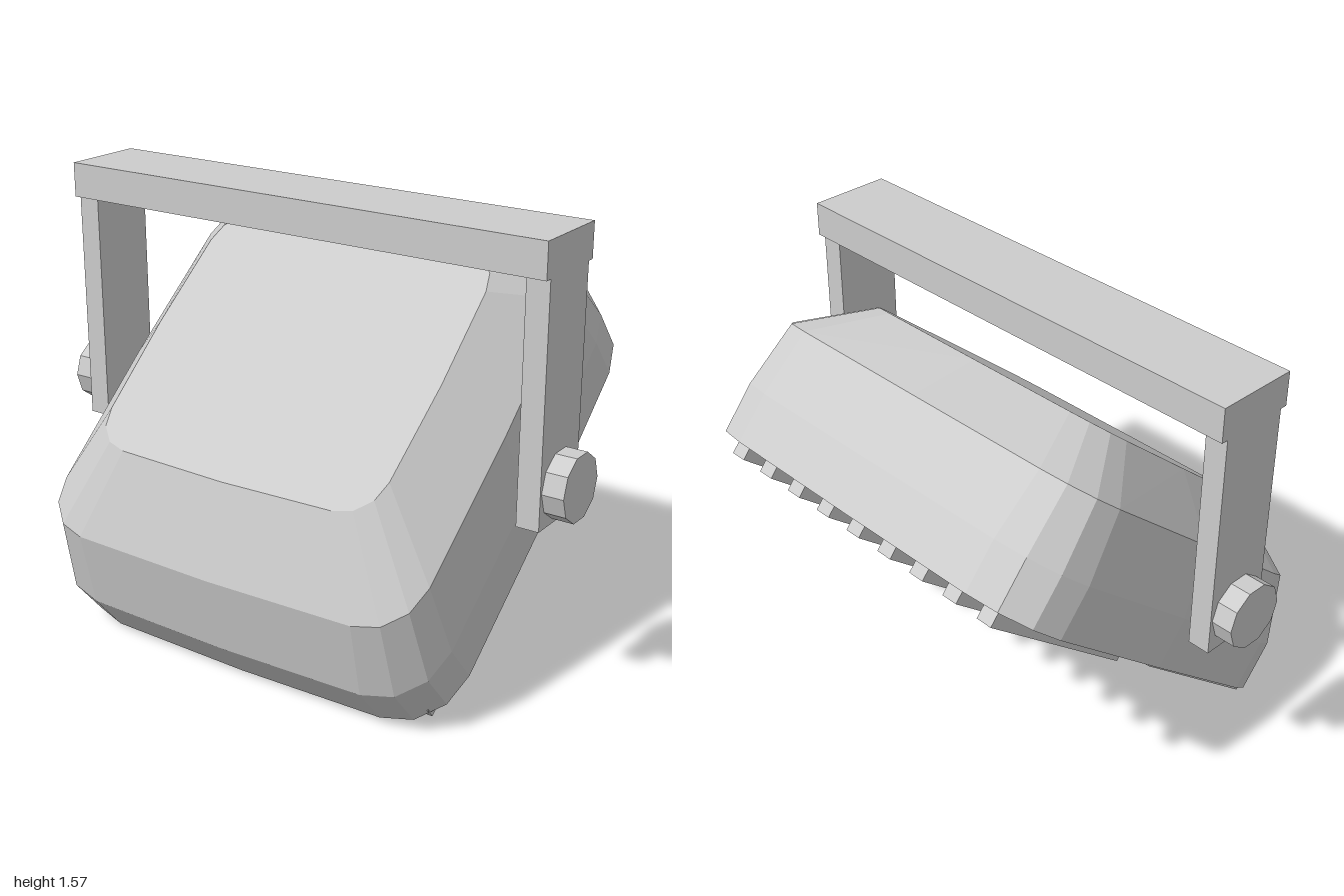
import * as THREE from 'three';

const gray = new THREE.MeshStandardMaterial({ color: 0xcccccc, flatShading: true });
gray.name = 'light gray';

function add(parent, name, geometry, x, y, z) {
  const mesh = new THREE.Mesh(geometry, gray);
  mesh.name = name;
  mesh.position.set(x, y, z);
  parent.add(mesh);
  return mesh;
}

// Rounded rectangle loop, its straight edges bulging slightly at the middle
function ring({ y, hx, hz, r, cz }) {
  const b = 0.009, pts = [];
  const corners = [[1, -1], [-1, -1], [-1, 1], [1, 1]];
  const middles = [[0, -1], [-1, 0], [0, 1], [1, 0]];
  corners.forEach(([sx, sz], q) => {
    for (let k = 0; k <= 3; k++) {
      const a = (q + k / 3) * Math.PI / 2;
      pts.push([sx * (hx - b - r) + r * Math.cos(a), y, cz + sz * (hz - b - r) - r * Math.sin(a)]);
    }
    const [mx, mz] = middles[q];
    pts.push([mx * hx, y, cz + mz * hz]);
  });
  return pts;
}

// Stack of rounded sections closed by a cap at each end
function housingGeometry() {
  const sections = [
    { y: 0, hx: 0.785, hz: 0.822, r: 0.225, cz: 0 },
    { y: 0.181, hx: 0.785, hz: 0.822, r: 0.225, cz: 0 },
    { y: 0.423, hx: 0.752, hz: 0.74, r: 0.19, cz: -0.045 },
    { y: 0.606, hx: 0.57, hz: 0.511, r: 0.14, cz: -0.087 },
  ];
  const rings = sections.map(ring);
  const n = rings[0].length, top = rings.length - 1;
  const verts = rings.flat();
  const index = [];
  for (let s = 0; s < top; s++) {
    for (let i = 0; i < n; i++) {
      const j = (i + 1) % n;
      const a = s * n + i, b = s * n + j, c = b + n, d = a + n;
      index.push(a, b, c, a, c, d);
    }
  }
  const low = verts.length, high = low + 1;
  verts.push([0, sections[0].y, sections[0].cz], [0, sections[top].y, sections[top].cz]);
  for (let i = 0; i < n; i++) {
    const j = (i + 1) % n;
    index.push(low, j, i, high, top * n + i, top * n + j);
  }
  const g = new THREE.BufferGeometry();
  g.setAttribute('position', new THREE.Float32BufferAttribute(verts.flat(), 3));
  g.setIndex(index);
  const flat = g.toNonIndexed();
  flat.computeVertexNormals();
  return flat;
}

export function createModel() {
  const model = new THREE.Group();
  model.name = 'floodlight';

  // Tilted lamp head
  const head = new THREE.Group();
  head.name = 'lampHead';
  head.position.set(0, 0.5325, -0.085);
  head.rotation.x = THREE.MathUtils.degToRad(40);
  model.add(head);
  add(head, 'housing', housingGeometry(), 0, 0, 0);
  add(head, 'lensPanel', new THREE.BoxGeometry(1.41, 0.046, 0.664), 0, -0.003, 0.413);

  // Cooling fins beside the lens
  const fin = new THREE.BoxGeometry(0.06, 0.077, 0.742);
  for (let i = 0; i < 9; i++) {
    add(head, 'coolingFin', fin, (i - 4) * 0.151, -0.0185, -0.364);
  }

  // Mounting bracket with a knob on each side
  const bracket = new THREE.Group();
  bracket.name = 'bracket';
  model.add(bracket);
  add(bracket, 'crossbar', new THREE.BoxGeometry(1.85, 0.12, 0.295), 0, 1.51, 0.107);
  for (const side of [-1, 1]) {
    add(bracket, 'bracketArm', new THREE.BoxGeometry(0.08, 0.81, 0.245), side * 0.885, 1.045, 0.107);
    const knob = add(bracket, 'knob', new THREE.CylinderGeometry(0.115, 0.115, 0.08, 10), side * 0.96, 0.765, 0.107);
    knob.rotation.z = Math.PI / 2;
  }
  return model;
}
